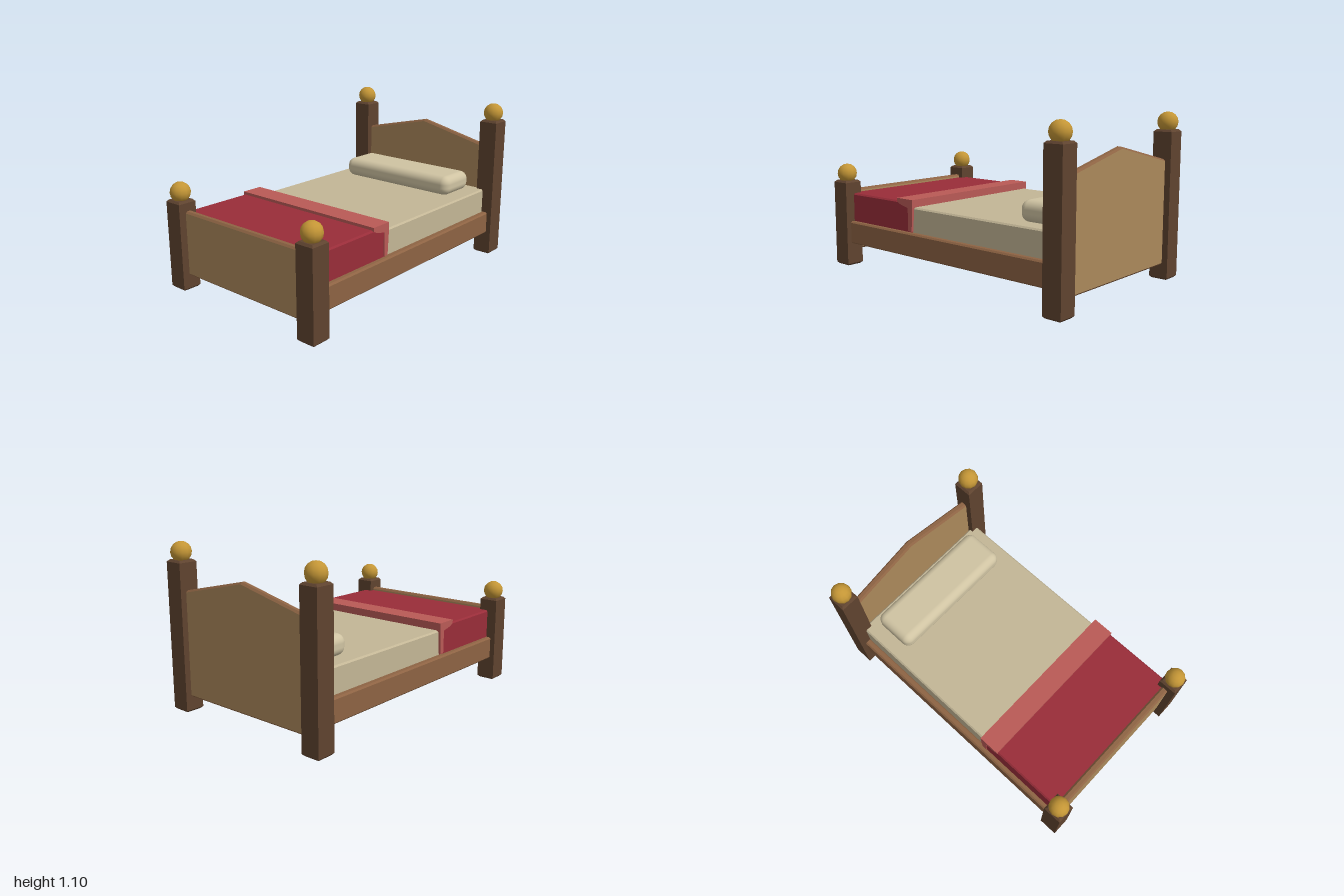
import * as THREE from 'three';
import { RoundedBoxGeometry } from 'three/addons/geometries/RoundedBoxGeometry.js';

const mat = (name, color) => Object.assign(new THREE.MeshStandardMaterial({ color }), { name });

// Outline extruded along z, centred, with chamfered rims kept inside the outline
function slab(points, depth, bevel) {
  const shape = new THREE.Shape(points.map(([x, y]) => new THREE.Vector2(x, y)));
  const g = new THREE.ExtrudeGeometry(shape, {
    depth: depth - 2 * bevel, bevelEnabled: bevel > 0, bevelSegments: 1,
    bevelSize: bevel, bevelThickness: bevel, bevelOffset: -bevel,
  });
  return g.translate(0, 0, bevel - depth / 2);
}

const rect = (x0, y0, x1, y1) => [[x0, y0], [x1, y0], [x1, y1], [x0, y1]];

export function createModel() {
  const bed = new THREE.Group();
  bed.name = 'bed';

  const darkWood = mat('dark wood', 0x5f432f);
  const midWood = mat('mid wood', 0x8d6343);
  const panelWood = mat('panel wood', 0xab885b);
  const brass = mat('brass', 0xc49636);
  const linen = mat('linen', 0xc3b696);
  const pillowCloth = mat('pillow cloth', 0xcfc3a2);
  const red = mat('red blanket', 0x992d39);
  const pink = mat('blanket lining', 0xb95a56);

  const add = (name, geometry, material, x = 0, y = 0, z = 0) => {
    const mesh = new THREE.Mesh(geometry, material);
    mesh.name = name;
    mesh.position.set(x, y, z);
    bed.add(mesh);
    return mesh;
  };

  // Corner posts with ball finials, and the side rails
  for (const side of [-1, 1]) {
    const sideName = side > 0 ? 'left' : 'right';
    for (const [end, z, height] of [['Foot', 0.935, 0.602], ['Head', -0.935, 0.985]]) {
      const post = slab(rect(-0.064, -0.065, 0.064, 0.065), height, 0.013).rotateX(-Math.PI / 2);
      add(`${sideName}${end}Post`, post, darkWood, side * 0.574, height / 2, z);
      add(`${sideName}${end}Finial`, new THREE.SphereGeometry(0.067, 12, 8), brass,
        side * 0.574, height + 0.048, z);
    }
    const rail = slab(rect(-0.89, 0.158, 0.89, 0.315), 0.048, 0.01).rotateY(-Math.PI / 2);
    add(`${sideName}Rail`, rail, midWood, side * 0.58, 0, 0);
  }

  // End boards: pale faces with darker edges
  const boardMaterials = [panelWood, midWood];
  add('footboard', slab(rect(-0.53, 0.1, 0.53, 0.535), 0.048, 0.012), boardMaterials, 0, 0, 0.927);
  add('headboard', slab([[-0.53, 0.1], [0.53, 0.1], [0.53, 0.793], [0, 0.914], [-0.53, 0.793]],
    0.048, 0.012), boardMaterials, 0, 0, -0.936);

  // Mattress and pillow
  add('mattress', slab(rect(-0.56, -0.9, 0.56, 0.9), 0.28, 0.01).rotateX(-Math.PI / 2), linen, 0, 0.34, 0);
  add('pillow', new RoundedBoxGeometry(0.92, 0.135, 0.3, 4, 0.055), pillowCloth, 0, 0.542, -0.694);

  // Blanket over the foot end, with its turned-back edge
  add('blanket', slab(rect(0.27, 0.3, 0.902, 0.512), 1.142, 0.01).rotateY(-Math.PI / 2), red);
  const fold = [[0.265, 0.32], [0.298, 0.32], [0.3, 0.475], [0.37, 0.49], [0.403, 0.506],
    [0.403, 0.531], [0.255, 0.531], [0.255, 0.48]];
  add('blanketFold', slab(fold, 1.152, 0).rotateY(-Math.PI / 2), pink);

  return bed;
}
